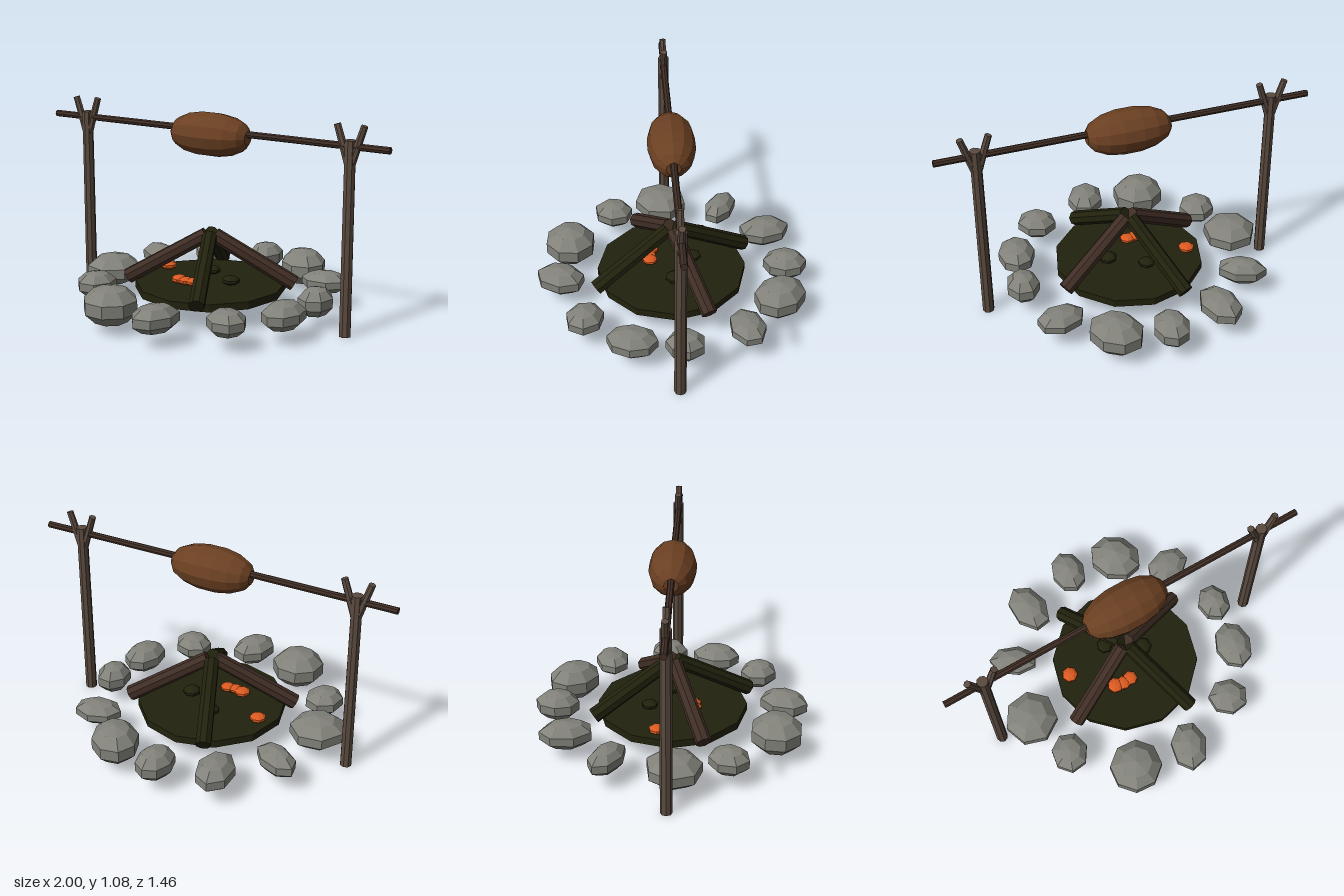
import * as THREE from 'three';

const mat = (name, color, flatShading = true) => {
  const m = new THREE.MeshStandardMaterial({ color, flatShading });
  m.name = name;
  return m;
};

export function createModel() {
  const root = new THREE.Group();
  root.name = 'campfire';

  const stone = mat('stone', 0x82827b);
  const postWood = mat('postWood', 0x5b4b40);
  const spitWood = mat('spitWood', 0x402e25);
  const charred = mat('charred', 0x22220e);
  const ember = mat('ember', 0xdc5a20);
  const meat = mat('meat', 0x6b4022);

  const add = (name, geometry, material, parent = root) => {
    const mesh = new THREE.Mesh(geometry, material);
    mesh.name = name;
    parent.add(mesh);
    return mesh;
  };

  // Round stick between two points
  const stick = (name, a, b, r0, r1, sides, material, parent) => {
    const p = new THREE.Vector3(...a), q = new THREE.Vector3(...b);
    const dir = q.clone().sub(p);
    const mesh = add(name, new THREE.CylinderGeometry(r1, r0, dir.length(), sides), material, parent);
    mesh.position.copy(p).add(q).multiplyScalar(0.5);
    mesh.quaternion.setFromUnitVectors(new THREE.Vector3(0, 1, 0), dir.normalize());
    return mesh;
  };

  // Ash bed
  add('ashBed', new THREE.CylinderGeometry(0.4, 0.4, 0.04, 12), charred).position.y = 0.14;

  // Ring of stones: x, z, long radius, short radius, height radius, turn, sides
  const stones = [
    [-0.31, -0.54, 0.145, 0.1, 0.075, -1.4, 7],
    [-0.01, -0.62, 0.12, 0.095, 0.08, 1.5, 8],
    [0.265, -0.56, 0.15, 0.125, 0.1, -0.9, 8],
    [0.495, -0.365, 0.13, 0.095, 0.06, 0.2, 7],
    [0.605, -0.04, 0.105, 0.09, 0.08, 1.5, 7],
    [0.565, 0.23, 0.135, 0.1, 0.075, 1.4, 8],
    [0.38, 0.47, 0.11, 0.1, 0.07, -0.5, 7],
    [0.05, 0.6, 0.135, 0.1, 0.075, 1.2, 7],
    [-0.255, 0.55, 0.145, 0.14, 0.105, 0.3, 8],
    [-0.525, 0.305, 0.11, 0.1, 0.07, 1.2, 7],
    [-0.61, 0.03, 0.15, 0.145, 0.085, 0.8, 7],
    [-0.535, -0.31, 0.135, 0.08, 0.07, -0.5, 7],
  ];
  const ring = new THREE.Group();
  ring.name = 'stoneRing';
  root.add(ring);
  stones.forEach(([x, z, a, c, h, turn, sides]) => {
    const s = add('stone', new THREE.SphereGeometry(1, sides, 5), stone, ring);
    s.scale.set(a * 1.03, h, c * 1.03);
    s.rotation.y = turn;
    s.position.set(x, 0.138, z);
  });

  // Four leaning logs, alternately charred and fresh
  const logs = new THREE.Group();
  logs.name = 'logs';
  root.add(logs);
  [[0.17, 0.41, charred], [0.41, -0.175, spitWood], [-0.17, -0.41, charred], [-0.41, 0.175, spitWood]]
    .forEach(([x, z, m]) =>
      stick('log', [x, 0.165, z], [x * 0.05, 0.413, z * 0.05], 0.042, 0.04, 8, m, logs));

  // Glowing and burnt out coals
  const coals = new THREE.Group();
  coals.name = 'coals';
  root.add(coals);
  [[-0.31, -0.07, 0.045, ember], [-0.125, 0.11, 0.045, ember], [-0.08, 0.12, 0.04, ember],
    [-0.035, 0.115, 0.042, ember], [-0.06, -0.12, 0.045, charred], [0.12, -0.01, 0.05, charred]]
    .forEach(([x, z, r, m]) => {
      const c = add('coal', new THREE.SphereGeometry(r, 7, 5), m, coals);
      c.scale.y = 0.5;
      c.position.set(x, 0.178, z);
    });

  // Forked posts
  [-1, 1].forEach((side) => {
    const post = new THREE.Group();
    post.name = side > 0 ? 'leftPost' : 'rightPost';
    post.position.x = side * 0.79;
    root.add(post);
    stick('pole', [0, 0, 0], [0, 1, 0], 0.031, 0.029, 8, postWood, post);
    [-1, 1].forEach((k) =>
      stick('prong', [k * 0.008, 0.88, 0], [k * 0.072, 1.075, 0], 0.021, 0.018, 7, postWood, post));
  });

  // Spit
  stick('spit', [-1, 0.97, 0], [1, 0.97, 0], 0.018, 0.018, 8, spitWood, root);

  // Roast
  const profile = [[0, -0.222], [0.035, -0.222], [0.072, -0.192], [0.1, -0.13], [0.114, -0.05],
    [0.114, 0.05], [0.1, 0.13], [0.072, 0.192], [0.035, 0.222], [0, 0.222]]
    .map(([r, y]) => new THREE.Vector2(r, y));
  const roast = add('roast', new THREE.LatheGeometry(profile, 12).rotateZ(Math.PI / 2), meat);
  roast.scale.z = 1.07;
  roast.position.y = 0.95;

  return root;
}
